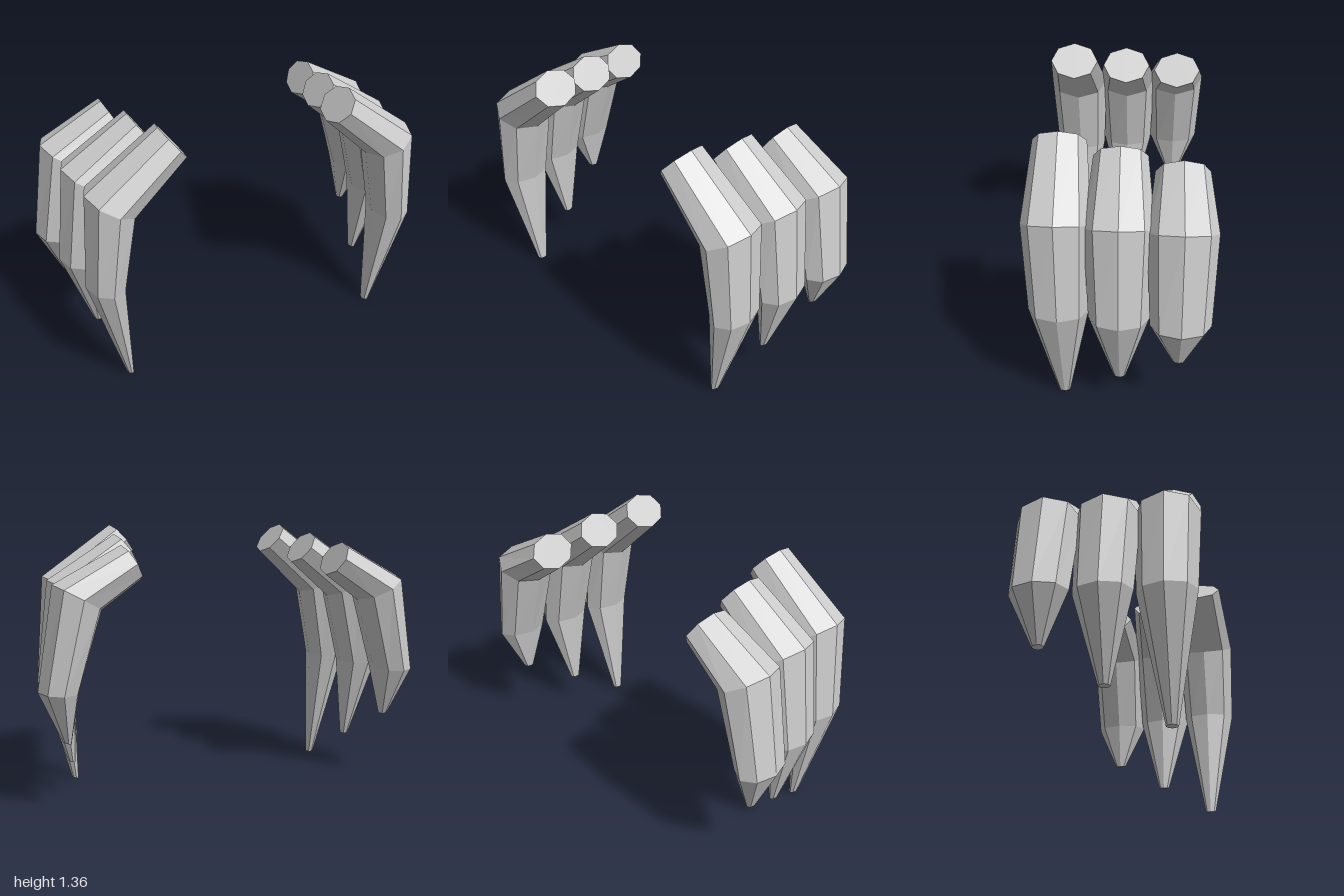
import * as THREE from 'three';

const SIDES = 8;

// Each ring: [centre x, centre y, outward half-axis x, y, half-width z], from shoulder to tip.
const LEGS = [
  { name: 'frontLeg', z: 0.28, rings: [
    [0.44, 1.288, 0.06, 0.076, 0.125],
    [0.75, 1.037, 0.115, 0.063, 0.158],
    [0.805, 0.6, 0.097, 0.003, 0.14],
    [0.718, 0.003, 0.018, 0.003, 0.028]] },
  { name: 'middleLeg', z: 0, rings: [
    [0.495, 1.242, 0.055, 0.079, 0.125],
    [0.777, 1.037, 0.115, 0.063, 0.158],
    [0.855, 0.6, 0.097, 0.003, 0.14],
    [0.792, 0.178, 0.018, 0.003, 0.028]] },
  { name: 'backLeg', z: -0.28, rings: [
    [0.545, 1.193, 0.046, 0.083, 0.125],
    [0.805, 1.037, 0.115, 0.063, 0.158],
    [0.903, 0.6, 0.097, 0.003, 0.14],
    [0.868, 0.35, 0.02, 0.004, 0.028]] },
];

// Loft an eight-sided closed tube through the rings; side = -1 mirrors it in x.
function legGeometry(rings, z, side) {
  const pos = [], index = [];
  for (const [cx, cy, ax, ay, rz] of rings) {
    for (let i = 0; i < SIDES; i++) {
      const t = side * i * Math.PI * 2 / SIDES;
      const c = Math.cos(t), s = Math.sin(t);
      pos.push(side * (cx + c * ax), cy + c * ay, z + s * rz);
    }
  }
  const last = (rings.length - 1) * SIDES;
  for (let r = 0; r < last; r += SIDES) {
    for (let i = 0; i < SIDES; i++) {
      const j = (i + 1) % SIDES;
      const a = r + i, b = r + j;
      index.push(a, b, b + SIDES, a, b + SIDES, a + SIDES);
    }
  }
  // Flat caps on the shoulder and the tip
  for (let i = 1; i < SIDES - 1; i++) {
    index.push(0, i + 1, i);
    index.push(last, last + i, last + i + 1);
  }
  const indexed = new THREE.BufferGeometry();
  indexed.setAttribute('position', new THREE.Float32BufferAttribute(pos, 3));
  indexed.setIndex(index);
  const geometry = indexed.toNonIndexed();
  geometry.computeVertexNormals();
  return geometry;
}

export function createModel() {
  const model = new THREE.Group();
  model.name = 'legs';
  const material = new THREE.MeshStandardMaterial({ color: 0xcccccc, flatShading: true });

  // Three legs on each side
  for (const side of [1, -1]) {
    const group = new THREE.Group();
    group.name = side > 0 ? 'leftLegs' : 'rightLegs';
    for (const { name, z, rings } of LEGS) {
      const leg = new THREE.Mesh(legGeometry(rings, z, side), material);
      leg.name = name;
      group.add(leg);
    }
    model.add(group);
  }
  return model;
}
